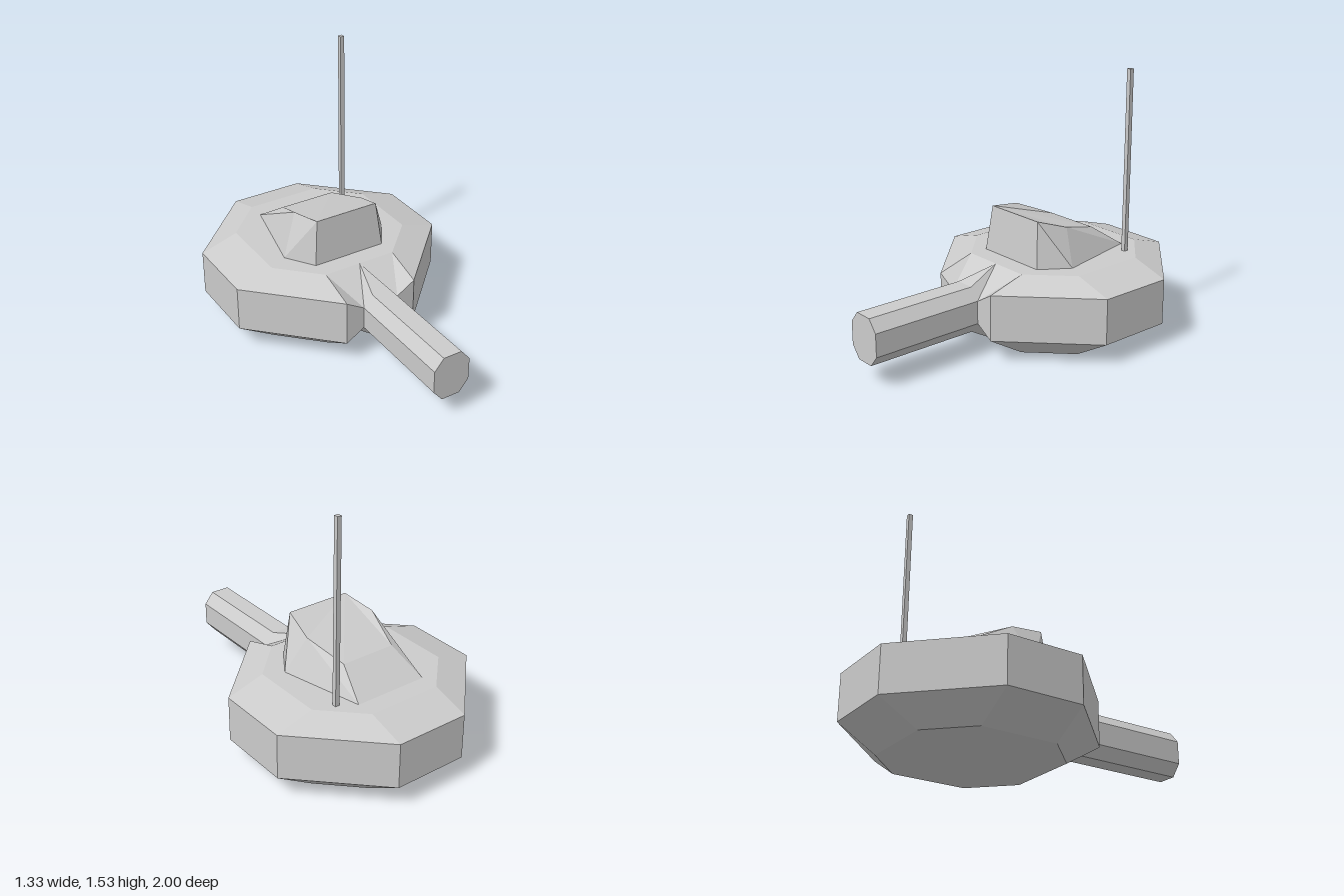
import * as THREE from 'three';

const material = new THREE.MeshStandardMaterial({ color: 0xcccccc, flatShading: true });

// Flat-shaded mesh from a list of convex polygons (corners counter-clockwise)
function faceMesh(name, faces) {
  const pos = [];
  for (const f of faces) {
    for (let i = 1; i < f.length - 1; i++) pos.push(...f[0], ...f[i], ...f[i + 1]);
  }
  const g = new THREE.BufferGeometry();
  g.setAttribute('position', new THREE.Float32BufferAttribute(pos, 3));
  g.computeVertexNormals();
  const m = new THREE.Mesh(g, material);
  m.name = name;
  return m;
}

const mirrorX = (f) => f.map(([x, y, z]) => [-x, y, z]).reverse();

// Eight-sided hull with bevelled rims; the front is pinched in to meet the barrel
function createHull() {
  const outer = [[0, -1], [0.222, -1], [0.667, -0.556], [0.667, -0.111], [0.222, 0.333]];
  const inner = [[0, -0.778], [0.222, -0.778], [0.444, -0.556], [0.444, -0.111], [0.222, 0.111]];
  const at = (ring, y) => ring.map(([x, z]) => [x, y, z]);
  const rings = [at(inner, 0), at(outer, 0.133), at(outer, 0.4), at(inner, 0.467)];
  const half = [];

  // Side panels
  for (let r = 0; r < 3; r++) {
    for (let i = 0; i < 4; i++) {
      half.push([rings[r][i], rings[r + 1][i], rings[r + 1][i + 1], rings[r][i + 1]]);
    }
  }
  // Deck and underside
  half.push([...rings[3], [0, 0.467, 0.111]].reverse(), [...rings[0], [0, 0, 0.111]]);

  // Cheek beside the barrel
  half.push([[0.222, 0.133, 0.333], [0.222, 0.4, 0.333], [0.111, 0.333, 0.333], [0.111, 0.2, 0.333]]);

  // Facets fanning from the deck edge (and the floor edge) to the barrel root
  for (const [edge, rim, side, flip] of [[0.467, 0.4, 0.333, false], [0, 0.133, 0.2, true]]) {
    const T = [0.222, edge, 0.111], M = [0, edge, 0.111];
    const C = [0.222, rim, 0.333], S = [0.111, side, 0.333];
    const D = [0.056, rim, 0.333], O = [0, rim, 0.333];
    const fan = [[T, S, C], [T, M, S], [M, D, S], [M, O, D]];
    half.push(...fan.map((f) => (flip ? f.reverse() : f)));
  }
  return faceMesh('hull', [...half, ...half.map(mirrorX)]);
}

// Faceted cupola on the deck; its left crest sits a little higher
function createCupola() {
  const side = (crestY, crestZ) => ({
    baseFront: [0.222, 0.467, 0],
    baseSide: [0.333, 0.467, -0.167],
    baseBack: [0.222, 0.467, -0.667],
    front: [0.194, 0.733, -0.028],
    crest: [0.222, crestY, crestZ],
    back: [0.167, 0.6, -0.472],
  });
  const flank = (s) => [
    [s.baseFront, s.baseSide, s.front],
    [s.front, s.baseSide, s.crest],
    [s.crest, s.baseSide, s.baseBack],
    [s.crest, s.baseBack, s.back],
  ];
  const a = side(0.667, -0.222);
  const b0 = side(0.7, -0.235);
  const b = Object.fromEntries(Object.entries(b0).map(([k, [x, y, z]]) => [k, [-x, y, z]]));
  return faceMesh('cupola', [
    ...flank(a),
    ...flank(b0).map(mirrorX),
    [b.baseFront, a.baseFront, a.front, b.front],
    [b.front, a.front, a.crest],
    [b.front, a.crest, a.back],
    [b.front, a.back, b.back],
    [b.front, b.back, b.crest],
    [a.baseBack, b.baseBack, b.back, a.back],
  ]);
}

// Eight-sided barrel
function createBarrel() {
  const outline = [
    [0.056, 0.133], [0.111, 0.2], [0.111, 0.333], [0.056, 0.4],
    [-0.056, 0.4], [-0.111, 0.333], [-0.111, 0.2], [-0.056, 0.133],
  ].map(([x, y]) => new THREE.Vector2(x, y));
  const g = new THREE.ExtrudeGeometry(new THREE.Shape(outline), { depth: 0.667, bevelEnabled: false });
  const m = new THREE.Mesh(g, material);
  m.name = 'barrel';
  m.position.z = 0.333;
  return m;
}

// Thin square antenna on the rear deck
function createAntenna() {
  const m = new THREE.Mesh(new THREE.BoxGeometry(0.026, 1.083, 0.026), material);
  m.name = 'antenna';
  m.position.set(0.317, 0.992, -0.597);
  return m;
}

export function createModel() {
  const model = new THREE.Group();
  model.name = 'turret';
  model.add(createHull(), createCupola(), createBarrel(), createAntenna());
  return model;
}
